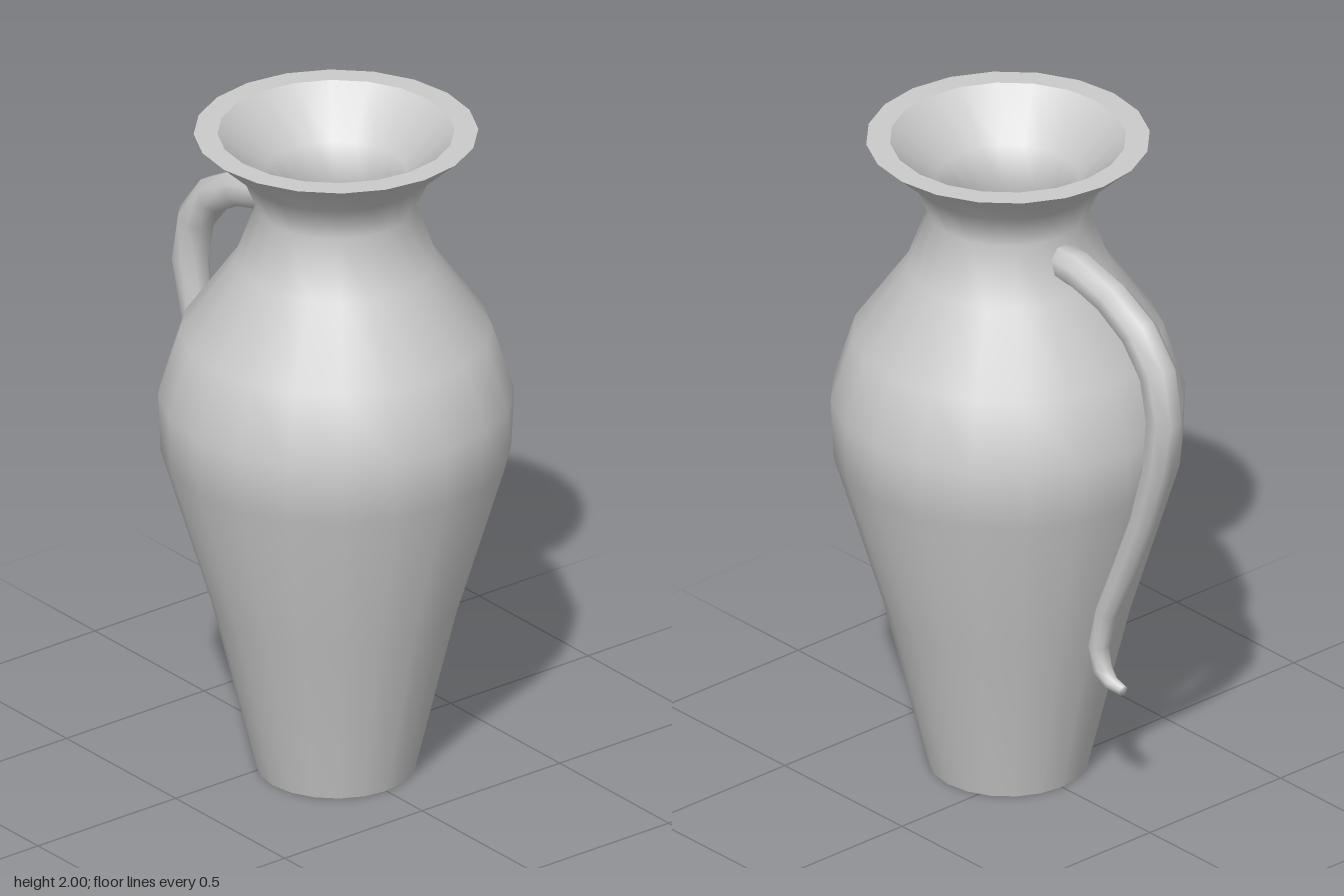
import * as THREE from 'three';

const SIDES = 20;
const AXIS_X = 0.105;

// Turned surface around the jug's axis; the profile runs base -> outside -> rim -> inside
function turned(name, profile, material) {
  const points = profile.map(([r, y]) => new THREE.Vector2(r, y));
  const mesh = new THREE.Mesh(new THREE.LatheGeometry(points, SIDES), material);
  mesh.name = name;
  mesh.position.x = AXIS_X;
  return mesh;
}

// Tapering octagonal tube along a path in the XY plane; each station is [x, y, radius]
function taperedTube(stations, sides = 8) {
  const first = stations[0];
  const last = stations[stations.length - 1];
  // zero-radius stations close the ends
  const rows = [[first[0], first[1], 0], ...stations, [last[0], last[1], 0]];
  const positions = [];
  const index = [];
  rows.forEach(([x, y, r], i) => {
    const a = rows[Math.max(i - 1, 0)];
    const b = rows[Math.min(i + 1, rows.length - 1)];
    const t = new THREE.Vector2(b[0] - a[0], b[1] - a[1]).normalize();
    const R = r / Math.cos(Math.PI / sides);
    for (let j = 0; j < sides; j++) {
      const angle = ((j + 0.5) / sides) * Math.PI * 2;
      const n = R * Math.cos(angle);
      positions.push(x - t.y * n, y + t.x * n, R * Math.sin(angle));
      if (i < rows.length - 1) {
        const k = (j + 1) % sides;
        const p = i * sides + j, q = i * sides + k;
        index.push(p, q, p + sides, q, q + sides, p + sides);
      }
    }
  });
  const geometry = new THREE.BufferGeometry();
  geometry.setAttribute('position', new THREE.Float32BufferAttribute(positions, 3));
  geometry.setIndex(index);
  geometry.computeVertexNormals();
  return geometry;
}

export function createModel() {
  const group = new THREE.Group();
  group.name = 'jug';
  const clay = new THREE.MeshStandardMaterial({ color: 0xcccccc });

  // Base disc, outer wall, flat rim and hollow interior
  group.add(
    turned('base', [[0, 0], [0.23, 0]], clay),
    turned('outerWall', [
      [0.23, 0], [0.355, 0.52], [0.5, 1.0], [0.508, 1.18], [0.445, 1.38],
      [0.29, 1.6], [0.228, 1.77], [0.275, 1.88], [0.406, 2],
    ], clay),
    turned('rim', [[0.406, 2], [0.338, 2]], clay),
    turned('innerWall', [
      [0.338, 2], [0.205, 1.87], [0.145, 1.77], [0.215, 1.58], [0.37, 1.36],
      [0.43, 1.18], [0.42, 1.0], [0.275, 0.52], [0.16, 0.08],
    ], clay),
    turned('innerFloor', [[0.16, 0.08], [0, 0.08]], clay),
  );

  // Curved handle, thinning towards the flicked tail
  const handle = new THREE.Mesh(taperedTube([
    [-0.11, 1.695, 0.05], [-0.2, 1.693, 0.05], [-0.34, 1.655, 0.05],
    [-0.455, 1.59, 0.052], [-0.535, 1.49, 0.052], [-0.562, 1.35, 0.051],
    [-0.53, 1.175, 0.043], [-0.47, 0.99, 0.037], [-0.39, 0.8, 0.035],
    [-0.315, 0.64, 0.031], [-0.282, 0.52, 0.029], [-0.299, 0.447, 0.027],
    [-0.335, 0.417, 0.021], [-0.385, 0.411, 0.015],
  ]), clay);
  handle.name = 'handle';
  group.add(handle);

  return group;
}
